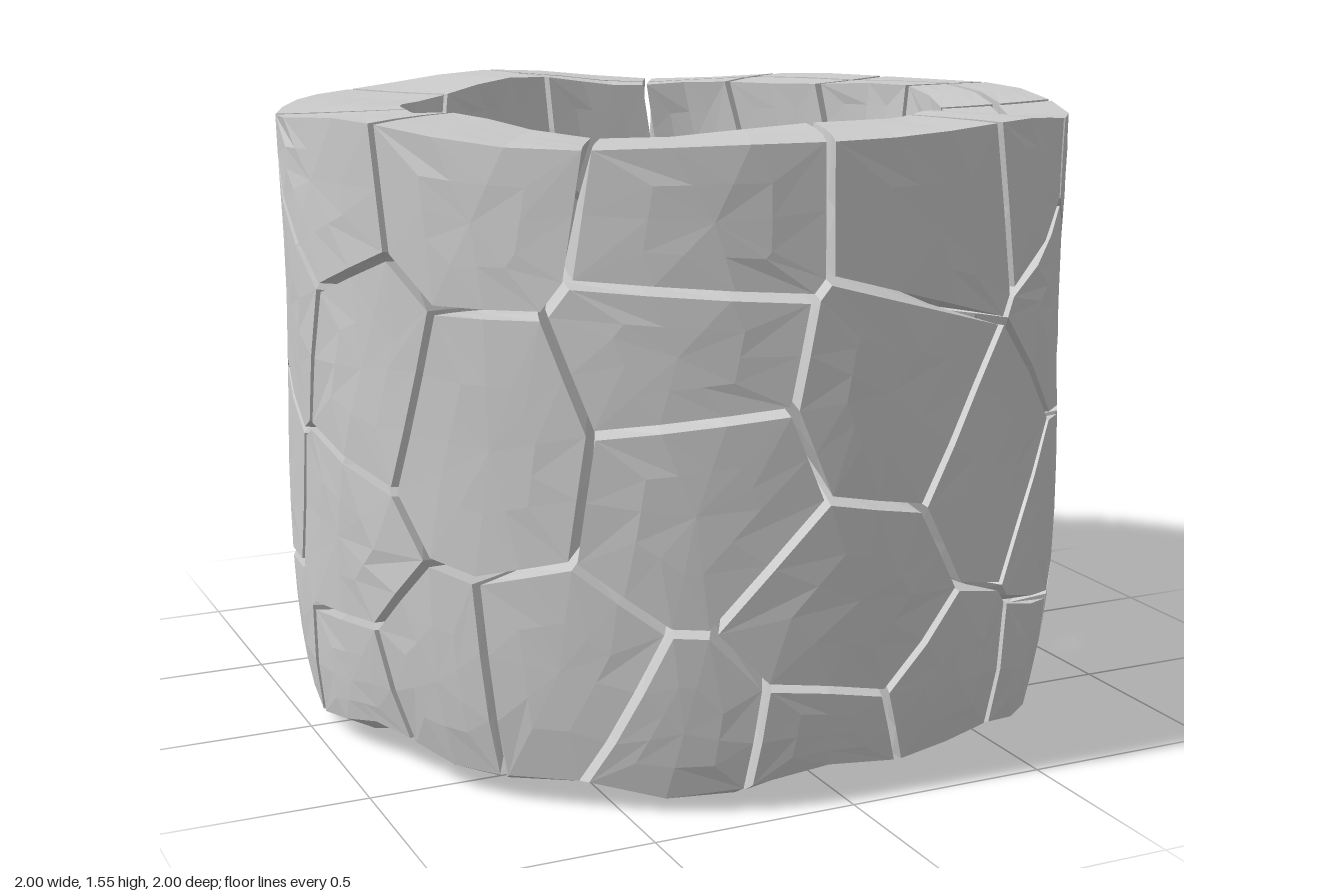
import * as THREE from 'three';

const H = 1.53, R_OUT = 1, R_IN = 0.69, GAP = 0.011, TAU = Math.PI * 2;

// One seed per stone: angle from the front (towards +x) and height, row by row
const ROWS = {
  topStone: [-0.9, 1.44, -0.37, 1.36, 0.21, 1.36, 0.64, 1.45, 1.07, 1.45, 1.48, 1.47, 1.86, 1.48,
    2.22, 1.44, 2.55, 1.4, 3.03, 1.42, 3.52, 1.38, 4.1, 1.4, 4.87, 1.38],
  upperStone: [-0.39, 1.06, 0.1, 0.97, 0.82, 1.07, 1.27, 1.03, 1.65, 1.13, 2.08, 1.03, 2.5, 1.0,
    2.9, 1.04, 3.3, 1.0, 3.75, 1.08, 4.2, 0.98, 4.65, 1.07, 5.03, 0.97],
  middleStone: [-0.88, 0.86, -0.36, 0.78, 0.47, 0.72, 0.76, 0.52, 1.1, 0.58, 1.5, 0.66, 1.84, 0.6,
    2.28, 0.6, 2.72, 0.62, 3.1, 0.55, 3.52, 0.64, 3.95, 0.56, 4.45, 0.62, 4.92, 0.53],
  lowerStone: [-0.72, 0.25, 0.0, 0.45, -0.4, 0.1, -0.08, 0.06, 0.33, 0.17, 0.66, 0.14, 1.16, 0.18,
    1.42, 0.14, 1.65, 0.25, 2.07, 0.22, 2.5, 0.2, 2.9, 0.16, 3.3, 0.24, 3.7, 0.18, 4.1, 0.22,
    4.5, 0.16, 4.95, 0.14, 5.27, 0.22],
};

// Keep the part of a polygon where nx * x + ny * y <= d
function clip(poly, nx, ny, d) {
  const out = [];
  poly.forEach((a, i) => {
    const b = poly[(i + 1) % poly.length];
    const da = nx * a[0] + ny * a[1] - d, db = nx * b[0] + ny * b[1] - d;
    if (da <= 0) out.push(a);
    if (da * db < 0) {
      const t = da / (da - db);
      out.push([a[0] + (b[0] - a[0]) * t, a[1] + (b[1] - a[1]) * t]);
    }
  });
  return out;
}

// Cell of one seed on the unrolled wall, shrunk by the crack width
function cellOf(seed, seeds) {
  const [x, y] = seed;
  let poly = [[x - 1, 0], [x + 1, 0], [x + 1, H], [x - 1, H]];
  for (const other of seeds) for (const turn of [-TAU, 0, TAU]) {
    const dx = other[0] + turn - x, dy = other[1] - y, len = Math.hypot(dx, dy);
    if (len < 1e-6 || len > 2) continue;
    const nx = dx / len, ny = dy / len;
    poly = clip(poly, nx, ny, nx * x + ny * y + len / 2 - GAP);
  }
  return poly;
}

// Split long edges so that stones follow the round wall
function subdivide(poly, step) {
  return poly.flatMap((a, i) => {
    const b = poly[(i + 1) % poly.length];
    const n = Math.max(1, Math.ceil(Math.hypot(b[0] - a[0], b[1] - a[1]) / step));
    return Array.from({ length: n }, (_, k) => [a[0] + (b[0] - a[0]) * k / n, a[1] + (b[1] - a[1]) * k / n]);
  });
}

// Wrap an unrolled point round the ring; cracks lean, the rim waves, the foot is broken
function wrap([a, y], r) {
  const depth = (R_OUT - r) / (R_OUT - R_IN), inside = y * (H - y);
  const angle = a + depth * (0.1 * Math.sin(3 * a + 1) + 0.06 * Math.sin(5 * y + 2 * a));
  const foot = Math.pow(1 - y / H, 7), rim = Math.pow(y / H, 8);
  const rough = Math.sin(5 * a + 1) * 0.5 + Math.sin(11 * a + 9 * r) * 0.5;
  const ridge = Math.sin(Math.PI * depth);
  const yy = y + foot * (0.07 + 0.035 * rough - 0.035 * ridge)
    + rim * 0.013 * (Math.sin(4 * a + 0.5) + 0.6 * Math.sin(7 * a + 4 * r))
    + depth * inside * 0.12 * Math.sin(3 * a + 2);
  const rr = r - 0.006 * (1 + Math.sin(9 * a + 5 * y)) * (1 - depth)
    + depth * 0.008 * Math.sin(8 * a + 4 * y) - foot * 0.035 * (1 - 2 * depth);
  return [rr * Math.sin(angle), yy, rr * Math.cos(angle)];
}

// Solid stone: faceted outer and inner faces joined by walls
function stoneGeometry(cell, rOut, rIn) {
  const edge = subdivide(cell, 0.2), n = edge.length;
  const centre = [0, 1].map(k => edge.reduce((s, p) => s + p[k], 0) / n);
  const half = edge.map(p => [(p[0] + centre[0]) / 2, (p[1] + centre[1]) / 2]);
  const layers = 3, pos = [];
  const radius = k => rOut + (rIn - rOut) * k / layers;
  const tri = (...points) => points.forEach(p => pos.push(...p));
  const quad = (a, b, c, d) => { tri(a, b, c); tri(a, c, d); };
  for (let i = 0; i < n; i++) {
    const j = (i + 1) % n;
    const O = p => wrap(p, rOut), I = p => wrap(p, rIn);
    tri(O(centre), O(half[i]), O(half[j]));
    quad(O(half[i]), O(edge[i]), O(edge[j]), O(half[j]));
    tri(I(centre), I(half[j]), I(half[i]));
    quad(I(half[j]), I(edge[j]), I(edge[i]), I(half[i]));
    for (let k = 0; k < layers; k++) {
      const r0 = radius(k), r1 = radius(k + 1);
      quad(wrap(edge[i], r0), wrap(edge[i], r1), wrap(edge[j], r1), wrap(edge[j], r0));
    }
  }
  const geometry = new THREE.BufferGeometry();
  geometry.setAttribute('position', new THREE.Float32BufferAttribute(pos, 3));
  geometry.computeVertexNormals();
  return geometry;
}

export function createModel() {
  const model = new THREE.Group();
  model.name = 'stoneRingWall';
  const material = new THREE.MeshStandardMaterial({ color: 0xcccccc, flatShading: true });
  const rows = Object.entries(ROWS).map(([name, list]) => {
    const seeds = [];
    for (let i = 0; i < list.length; i += 2) seeds.push([list[i], list[i + 1]]);
    return { name, seeds };
  });
  const all = rows.flatMap(row => row.seeds);

  for (const { name, seeds } of rows) {
    const group = new THREE.Group();
    group.name = name + 'Row';
    for (const seed of seeds) {
      const cell = cellOf(seed, all);
      // Some rim stones are cracked in two through the thickness
      const cracked = name === 'topStone' && seed[0] > 0.8 && seed[0] < 3.2;
      const mid = 0.85 + 0.02 * Math.sin(4 * seed[0]);
      const spans = cracked ? [[R_OUT, mid + GAP], [mid - GAP, R_IN]] : [[R_OUT, R_IN]];
      for (const [rOut, rIn] of spans) {
        const stone = new THREE.Mesh(stoneGeometry(cell, rOut, rIn), material);
        stone.name = name;
        group.add(stone);
      }
    }
    model.add(group);
  }
  return model;
}
